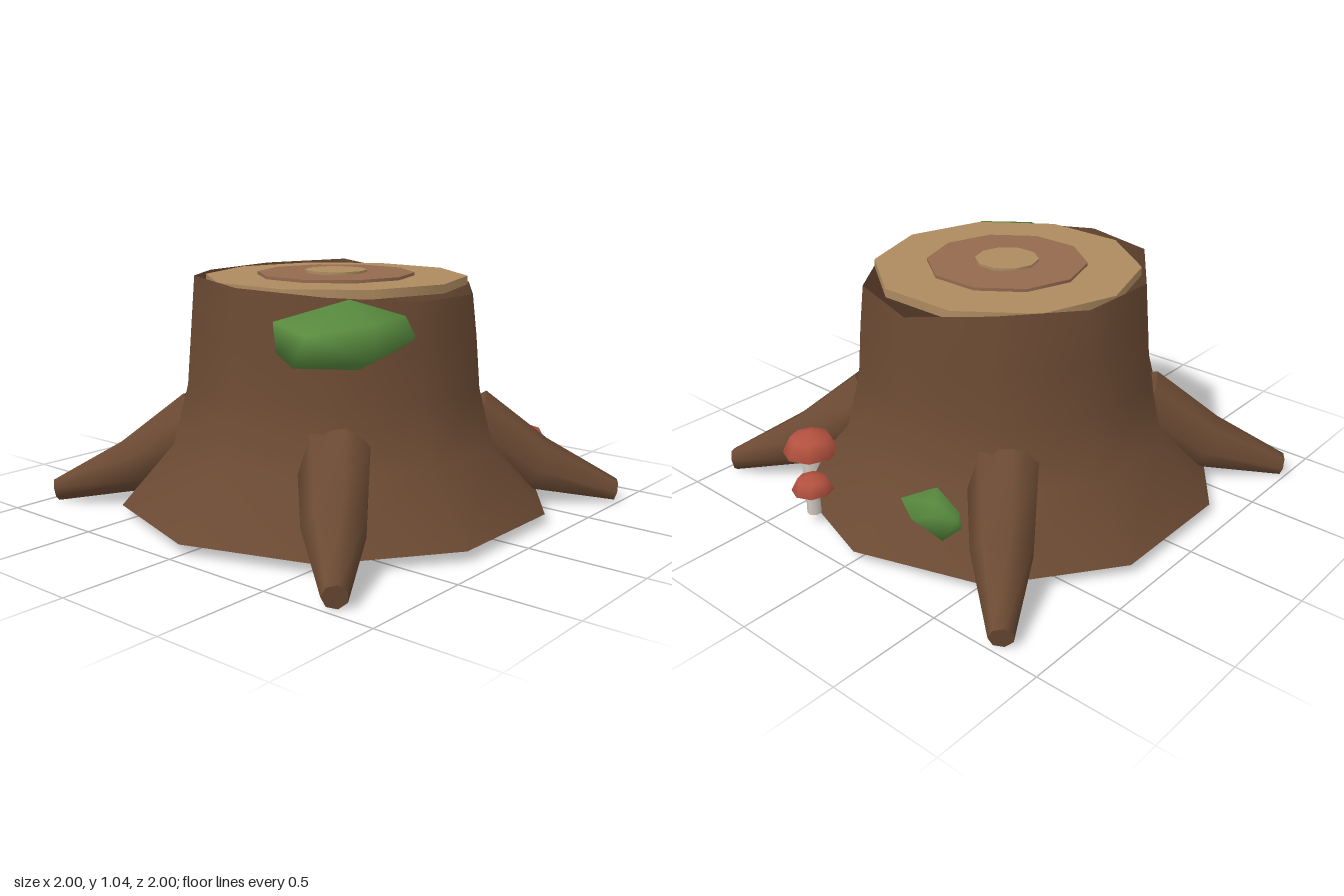
import * as THREE from 'three';
import { mergeVertices } from 'three/addons/utils/BufferGeometryUtils.js';
import { ConvexGeometry } from 'three/addons/geometries/ConvexGeometry.js';

const paint = (color, side = THREE.FrontSide) => new THREE.MeshStandardMaterial({ color, side });
const BARK = paint(0x6b4a33), OPEN_BARK = paint(0x6b4a33, THREE.DoubleSide);
const WOOD = paint(0xae8b60), DARK_WOOD = paint(0x946a4e);
const MOSS = paint(0x588a3e), RED = paint(0xb3513f, THREE.DoubleSide), STEM = paint(0xcfc8be);

function add(parent, name, geometry, material, x = 0, y = 0, z = 0) {
  const mesh = new THREE.Mesh(geometry, material);
  mesh.name = name;
  mesh.position.set(x, y, z);
  parent.add(mesh);
  return mesh;
}

// Closes the seam of a geometry, moves each vertex by a rule and refreshes the normals
function reshape(source, rule) {
  source.deleteAttribute('uv');
  const geometry = mergeVertices(source, 1e-3);
  const p = geometry.attributes.position, v = new THREE.Vector3();
  for (let i = 0; i < p.count; i++) {
    rule(v.fromBufferAttribute(p, i));
    p.setXYZ(i, v.x, v.y, v.z);
  }
  geometry.computeVertexNormals();
  return geometry;
}

// Flared bark wall with an uneven, open rim
function trunkGeometry() {
  const levels = [[0.95, 0.05], [0.72, 0.31], [0.653, 0.57], [0.635, 0.79], [0.615, 0.98]];
  const rim = [0.97, 0.975, 0.965, 0.97, 1.0, 1.02, 1.035, 1.02, 1.025, 1.035];
  const wall = new THREE.CylinderGeometry(1, 1, 1, 10, 4, true).rotateY(Math.PI / 2);
  return reshape(wall, (v) => {
    const k = Math.round((v.y + 0.5) * 4);
    const [radius, height] = levels[k];
    const side = (Math.round(Math.atan2(v.z, v.x) / (Math.PI / 5)) + 10) % 10;
    v.set(v.x * radius, k === 4 ? rim[side] : height, v.z * radius);
  });
}

// Bent, tapering root running out along +x; rows are distance, height, radius, tilt
function rootGeometry() {
  const rows = [[0.57, 0.39, 0.155, 0.75], [0.89, 0.172, 0.13, 0.52], [1.26, 0.051, 0.05, 0.2]];
  return reshape(new THREE.CylinderGeometry(1, 1, 1, 7, 2), (v) => {
    const [out, height, radius, tilt] = rows[Math.round((0.5 - v.y) * 2)];
    const up = v.x * radius;
    v.set(out + up * Math.sin(tilt), height + up * Math.cos(tilt), v.z * radius);
  });
}

// Rounded lump around a few corner points
function lumpGeometry(points) {
  const hull = new ConvexGeometry(points.map((p) => new THREE.Vector3(...p)));
  hull.deleteAttribute('normal');
  const smooth = mergeVertices(hull, 1e-4);
  smooth.computeVertexNormals();
  return smooth;
}

function addMushroom(parent, x, z, radius, rimY, height, stemRadius) {
  const mushroom = new THREE.Group();
  mushroom.name = 'mushroom';
  mushroom.position.set(x, 0, z);
  const cap = new THREE.SphereGeometry(radius, 8, 2, 0, Math.PI * 2, 0, Math.PI / 2);
  add(mushroom, 'mushroomCap', cap.scale(1, height / radius, 1), RED, 0, rimY, 0);
  const length = rimY - 0.03;
  add(mushroom, 'mushroomStem', new THREE.CylinderGeometry(stemRadius, stemRadius * 1.05, length, 7),
    STEM, 0, 0.05 + length / 2, 0);
  parent.add(mushroom);
}

export function createModel() {
  const model = new THREE.Group();
  model.name = 'treeStump';

  add(model, 'trunk', trunkGeometry(), OPEN_BARK);
  const base = new THREE.CircleGeometry(0.95, 10).rotateX(Math.PI / 2);
  add(model, 'trunkBase', base, OPEN_BARK, 0, 0.05, 0);

  // Growth rings on the cut face
  [[0.57, 0.985, 1.022, WOOD], [0.342, 1.0, 1.035, DARK_WOOD], [0.136, 1.01, 1.046, WOOD]]
    .forEach(([r, low, high, material], i) => add(model, `growthRing${i + 1}`,
      new THREE.CylinderGeometry(r, r, high - low, 10), material, 0, (low + high) / 2, 0));

  // Four roots, a quarter turn apart
  for (let i = 0; i < 4; i++) {
    add(model, 'root', rootGeometry(), BARK).rotation.y = -0.875 + i * Math.PI / 2;
  }

  // Moss clumps, partly sunk into the bark
  add(model, 'largeMoss', lumpGeometry([
    [-0.79, 0.78, 0.46], [-0.78, 0.9, 0.51], [-0.76, 0.82, 0.35], [-0.69, 0.92, 0.27], [-0.56, 0.87, 0.18],
    [-0.42, 0.99, 0.42], [-0.6, 0.8, 0.68], [-0.56, 0.93, 0.65], [-0.36, 0.87, 0.66], [-0.23, 0.92, 0.55],
    [-0.18, 0.83, 0.57], [-0.2, 0.8, 0.54], [-0.46, 0.73, 0.5], [-0.35, 0.87, 0.25]]), MOSS);
  add(model, 'smallMoss', lumpGeometry([
    [0.54, 0.24, -0.24], [0.55, 0.22, -0.1], [0.7, 0.19, -0.37], [0.72, 0.24, -0.365], [0.8, 0.27, -0.3],
    [0.83, 0.24, -0.22], [0.76, 0.25, -0.09], [0.72, 0.21, -0.09], [0.66, 0.3, -0.2], [0.74, 0.295, -0.27],
    [0.76, 0.145, -0.32], [0.75, 0.16, -0.2]]), MOSS);

  addMushroom(model, 0.705, 0.53, 0.125, 0.215, 0.1, 0.043);
  addMushroom(model, 0.858, 0.345, 0.09, 0.163, 0.072, 0.03);
  return model;
}
